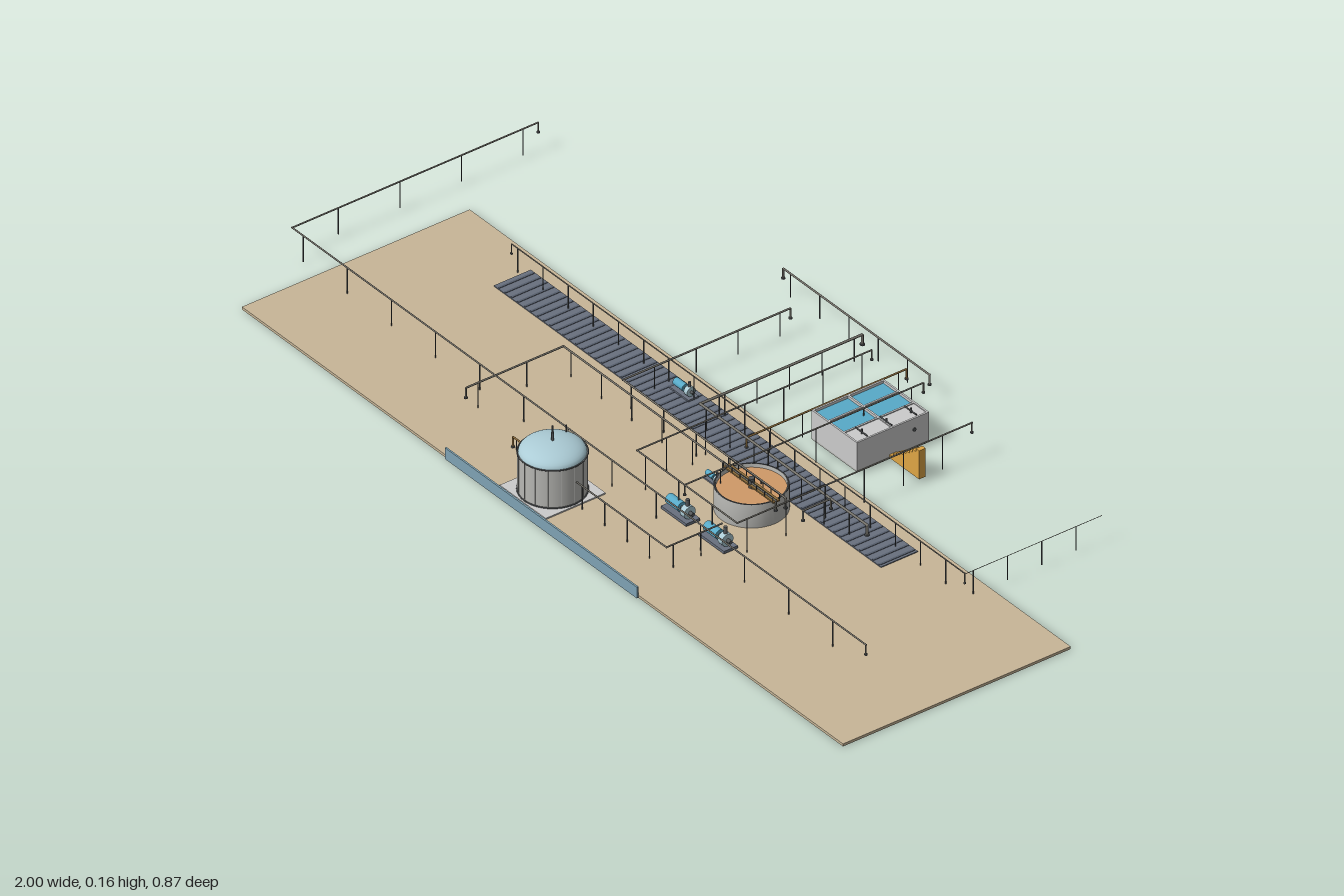
import * as THREE from 'three';

const mat = (color, side = THREE.FrontSide) => new THREE.MeshStandardMaterial({ color, side });
const M = {
  sand: mat(0xc8b698), slate: mat(0x69717f), slateDark: mat(0x565e6c), grey: mat(0xcccccc),
  concrete: mat(0xb8b8b4), steel: mat(0x55585a), pipe: mat(0x77746c), blue: mat(0x58aac8),
  pale: mat(0xacccd6), orange: mat(0xdfa645), mud: mat(0xd09a68), wall: mat(0x7fa3b4),
  brown: mat(0x8c6c3c),
};
const G = 0.006; // top of the ground slab

export function createModel() {
  const root = new THREE.Group();

  const group = (name, x = 0, y = 0, z = 0, parent = root) => {
    const g = new THREE.Group();
    g.name = name;
    g.position.set(x, y, z);
    parent.add(g);
    return g;
  };
  const add = (parent, name, geo, m, x = 0, y = 0, z = 0) => {
    const o = new THREE.Mesh(geo, m);
    o.name = name;
    o.position.set(x, y, z);
    parent.add(o);
    return o;
  };
  // box given by its lower and upper limits
  const box = (parent, name, m, x0, x1, y0, y1, z0, z1) =>
    add(parent, name, new THREE.BoxGeometry(x1 - x0, y1 - y0, z1 - z0), m, (x0 + x1) / 2, (y0 + y1) / 2, (z0 + z1) / 2);
  // round bar between two points
  const bar = (parent, name, a, b, r, m, sides = 8) => {
    const A = new THREE.Vector3(...a), d = new THREE.Vector3(...b).sub(A);
    const o = add(parent, name, new THREE.CylinderGeometry(r, r, d.length(), sides), m);
    o.position.copy(A).addScaledVector(d, 0.5);
    o.quaternion.setFromUnitVectors(new THREE.Vector3(0, 1, 0), d.normalize());
    return o;
  };
  const ring = (parent, name, R, r, y, m) => {
    add(parent, name, new THREE.TorusGeometry(R, r, 6, 48), m, 0, y, 0).rotation.x = Math.PI / 2;
  };

  // Ground slab, paved strip and low front wall
  box(root, 'groundSlab', M.sand, -0.91, 1, 0, G, -0.125, 0.43);
  box(root, 'pavedStrip', M.slate, -0.67, 0.56, G, 0.008, -0.09, 0);
  for (let i = 0; i < 60; i++) {
    const x = -0.66 + i * 0.0205;
    box(root, 'stripRib', M.slateDark, x, x + 0.005, 0.008, 0.009, -0.088, -0.002);
  }
  box(root, 'frontWall', M.wall, -0.26, 0.35, 0, 0.026, 0.43, 0.434);

  // Domed storage tank
  const tank = group('storageTank', -0.04, G, 0.34);
  box(tank, 'tankPad', M.grey, -0.073, 0.073, 0, 0.003, -0.073, 0.073);
  add(tank, 'tankShell', new THREE.CylinderGeometry(0.068, 0.068, 0.091, 48), M.concrete, 0, 0.0455, 0);
  const dome = [];
  for (let i = 0; i <= 10; i++) {
    const a = (i / 10) * Math.PI / 2;
    dome.push(new THREE.Vector2(Math.max(0.0001, 0.067 * Math.cos(a)), 0.091 + 0.026 * Math.sin(a)));
  }
  add(tank, 'tankDome', new THREE.LatheGeometry(dome, 48), M.pale);
  ring(tank, 'tankRim', 0.069, 0.0015, 0.091, M.steel);
  ring(tank, 'tankFoot', 0.069, 0.0015, 0.004, M.steel);
  for (let i = 0; i < 16; i++) {
    const a = (i / 16) * Math.PI * 2, c = Math.cos(a) * 0.0685, s = Math.sin(a) * 0.0685;
    bar(tank, 'tankRib', [c, 0, s], [c, 0.091, s], 0.0009, M.concrete, 6);
  }
  bar(tank, 'tankVent', [0, 0.112, 0], [0, 0.15, 0], 0.0018, M.steel);
  bar(tank, 'ventCollar', [0, 0.116, 0], [0, 0.135, 0], 0.003, M.steel);
  bar(tank, 'roofGauge', [-0.015, 0.11, -0.045], [-0.015, 0.126, -0.045], 0.0015, M.steel);
  for (let i = 0; i < 5; i++) {
    const x = -0.1 + i * 0.006;
    box(tank, 'tankStep', M.orange, x, x + 0.006, 0, 0.01 + i * 0.008, -0.034, -0.018);
  }

  // Round settling basin with a walkway bridge
  const basin = group('settlingBasin', 0.24, G, 0.07);
  const wall = [[0.069, 0], [0.074, 0], [0.074, 0.053], [0.069, 0.053], [0.069, 0]];
  add(basin, 'basinWall', new THREE.LatheGeometry(wall.map(p => new THREE.Vector2(...p)), 48), mat(0xb8b8b4, THREE.DoubleSide));
  add(basin, 'basinWater', new THREE.CylinderGeometry(0.07, 0.07, 0.046, 48), M.mud, 0, 0.023, 0);
  ring(basin, 'basinRim', 0.072, 0.0015, 0.053, M.steel);
  box(basin, 'bridgeDeck', M.brown, -0.08, 0.08, 0.053, 0.056, -0.008, 0.008);
  for (const z of [-0.008, 0.008]) {
    bar(basin, 'bridgeRail', [-0.08, 0.067, z], [0.08, 0.067, z], 0.001, M.steel);
    for (let i = 0; i < 7; i++) {
      const x = -0.078 + i * 0.026;
      bar(basin, 'bridgeRailPost', [x, 0.056, z], [x, 0.067, z], 0.0009, M.steel, 6);
    }
  }
  bar(basin, 'centreDrive', [0, 0.04, 0], [0, 0.068, 0], 0.006, M.steel, 16);

  // Treatment block: four open water cells and a closed service bay
  const block = group('treatmentBlock');
  const [bx0, bx1, bz0, bz1, top] = [0.123, 0.267, -0.342, -0.166, 0.073];
  box(block, 'blockFloor', M.concrete, bx0, bx1, 0.005, 0.009, bz0, bz1);
  for (const z of [bz0, -0.256, bz1 - 0.004]) box(block, 'crossWall', M.grey, bx0, bx1, 0.009, top, z, z + 0.004);
  for (const x of [bx0, 0.171, 0.22, bx1 - 0.004]) box(block, 'longWall', M.grey, x, x + 0.004, 0.009, top, bz0 + 0.004, bz1 - 0.004);
  box(block, 'cellWater', M.blue, bx0 + 0.004, 0.22, 0.009, 0.067, bz0 + 0.004, bz1 - 0.004);
  box(block, 'serviceBayRoof', M.grey, 0.222, bx1 - 0.004, 0.067, 0.071, bz0 + 0.004, bz1 - 0.004);
  for (const z of [-0.315, -0.255, -0.195]) {
    bar(block, 'roofPipe', [0.225, 0.075, z], [0.262, 0.075, z], 0.0015, M.steel);
    bar(block, 'roofValve', [0.245, 0.07, z], [0.245, 0.082, z], 0.002, M.steel);
  }
  add(block, 'sidePort', new THREE.CylinderGeometry(0.004, 0.004, 0.004, 16), M.steel, bx1, 0.047, -0.306).rotation.z = Math.PI / 2;
  for (let i = 0; i < 9; i++) {
    const x = bx1 + i * 0.0104;
    box(block, 'stairStep', M.orange, x, x + 0.0104, 0.005, 0.013 + i * 0.0073, -0.262, -0.246);
  }

  // Pump sets
  const pump = (x, z, s) => {
    const g = group('pumpSet', x, G, z);
    g.scale.setScalar(s);
    box(g, 'pumpBase', M.slate, -0.04, 0.04, 0.002, 0.008, -0.017, 0.017);
    bar(g, 'pumpMotor', [-0.035, 0.022, 0], [0.005, 0.022, 0], 0.011, M.blue, 20);
    bar(g, 'pumpShaft', [0.005, 0.022, 0], [0.02, 0.022, 0], 0.004, M.steel, 12);
    bar(g, 'pumpCasing', [0.016, 0.022, 0], [0.03, 0.022, 0], 0.014, M.pale, 20);
    bar(g, 'pumpOutlet', [0.023, 0.03, 0], [0.023, 0.05, 0], 0.004, M.steel, 12);
    bar(g, 'pumpInlet', [0.03, 0.022, 0], [0.04, 0.022, 0], 0.004, M.steel, 12);
  };
  pump(0.18, 0.197, 1);
  pump(0.3, 0.197, 1);
  pump(-0.15, -0.065, 0.75);
  pump(0.125, 0.075, 0.55);

  // Raised pipe runs: [x, z] corners at height y, on evenly spaced posts
  const run = (name, pts, y, r = 0.002, gap = 0.1, m = M.pipe, ends = true) => {
    const g = group(name);
    pts.slice(1).forEach(([x1, z1], i) => {
      const [x0, z0] = pts[i];
      bar(g, 'pipe', [x0, y, z0], [x1, y, z1], r, m);
      add(g, 'elbow', new THREE.SphereGeometry(r * 1.25, 8, 6), m, x1, y, z1);
      const L = Math.hypot(x1 - x0, z1 - z0), n = Math.max(1, Math.round(L / gap));
      for (let k = 0; k < n; k++) {
        const t = (k + 0.25) / n, x = x0 + (x1 - x0) * t, z = z0 + (z1 - z0) * t;
        bar(g, 'post', [x, 0.005, z], [x, y, z], 0.0013, M.steel, 6);
      }
    });
    if (ends) for (const [x, z] of [pts[0], pts[pts.length - 1]]) {
      bar(g, 'dropEnd', [x, y - 0.022, z], [x, y, z], r, m);
      bar(g, 'endFlange', [x, y - 0.024, z], [x, y - 0.021, z], r * 2, M.steel);
    }
  };
  run('frontMain', [[-0.998, -0.36], [-0.998, 0.24], [0.825, 0.24]], 0.066, 0.0017, 0.137);
  run('tankFeed', [[-0.355, 0.31], [-0.355, 0.072], [0.32, 0.072]], 0.064);
  run('basinFeed', [[-0.197, -0.36], [-0.197, 0.048], [0.32, 0.048]], 0.06);
  run('stripMain', [[-0.7, -0.066], [0.74, -0.066]], 0.062, 0.0013, 0.08);
  run('farBranch', [[0.74, -0.066], [0.74, -0.4]], 0.06, 0.0006, 0.08, M.pipe, false);
  run('rackMain', [[-0.04, -0.415], [-0.04, -0.02], [0.49, -0.02]], 0.06, 0.0027, 0.08, M.pipe);
  run('backMain', [[-0.315, -0.433], [0.15, -0.433]], 0.06, 0.002, 0.1);
  run('blockFeed', [[0.107, -0.41], [0.107, -0.02]], 0.06, 0.002, 0.08, M.brown);
  run('blockReturn', [[0.193, -0.385], [0.193, 0.197]], 0.084, 0.0017, 0.12);
  run('pumpLoop', [[0.042, -0.375], [0.042, 0.197], [0.36, 0.197], [0.36, -0.375]], 0.084, 0.0017, 0.1);
  run('sideBranch', [[0.375, -0.02], [0.375, 0.048]], 0.06);
  run('tankOutlet', [[0.03, 0.335], [0.315, 0.335], [0.315, 0.2]], 0.06, 0.0017, 0.08, M.pipe, false);
  run('tankDrain', [[-0.205, 0.31], [-0.115, 0.31]], 0.03, 0.002, 0.05, M.brown);

  return root;
}
